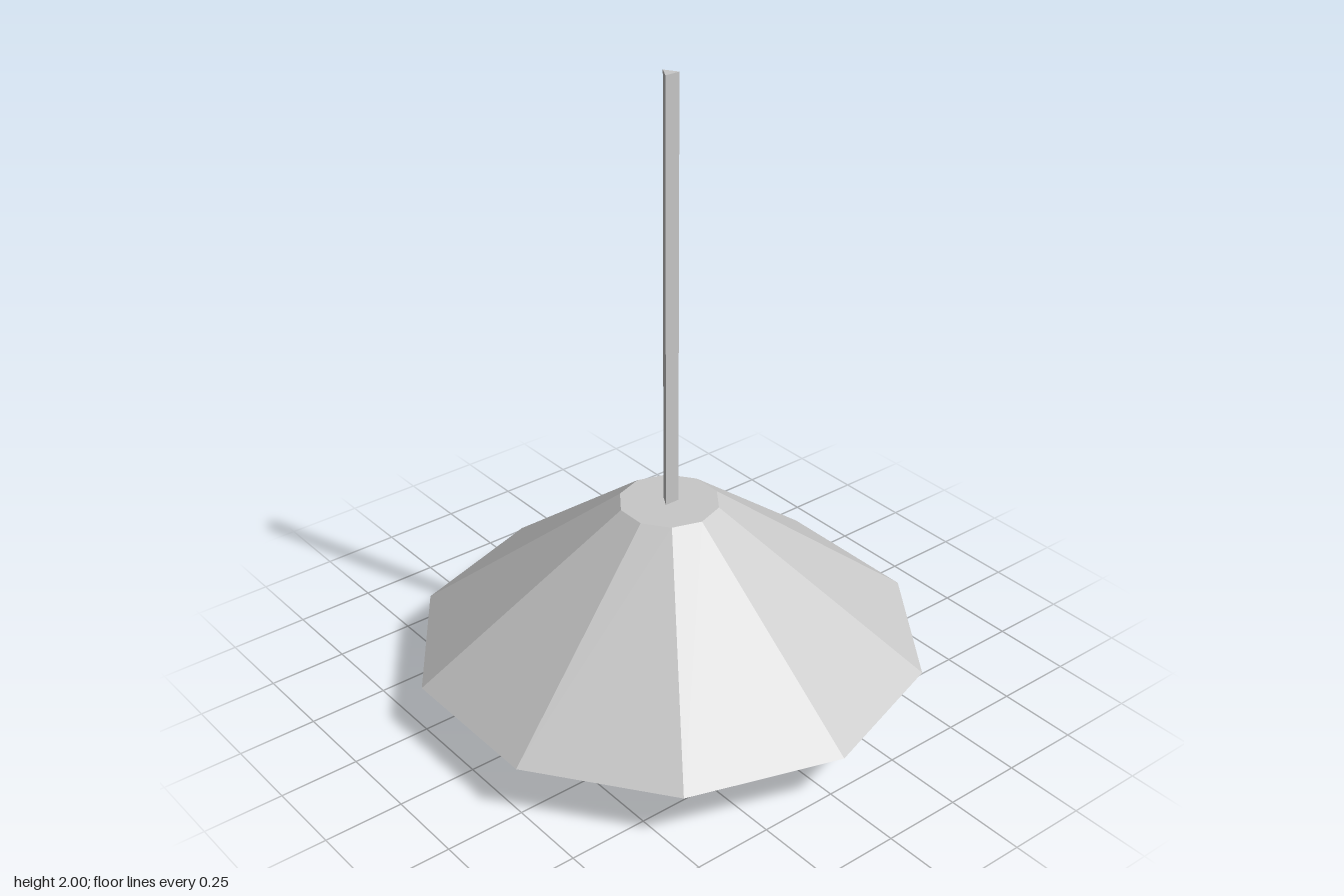
import * as THREE from 'three';

export function createModel() {
  const model = new THREE.Group();
  model.name = 'pendantLamp';
  const grey = new THREE.MeshStandardMaterial({ color: 0xc8c8c8, flatShading: true });
  grey.name = 'light grey';

  // Closed faceted prism or cone frustum between two heights
  function addPrism(name, rTop, rBottom, y0, y1, sides, turn = 0) {
    const geometry = new THREE.CylinderGeometry(rTop, rBottom, y1 - y0, sides);
    geometry.rotateY(turn);
    const mesh = new THREE.Mesh(geometry, grey);
    mesh.name = name;
    mesh.position.y = (y0 + y1) / 2;
    model.add(mesh);
  }

  // Octagonal bulb holder below the shade
  addPrism('bulbHolder', 0.215, 0.215, 0, 0.16, 8);
  // Ten-sided shade, closed at top and bottom
  addPrism('shade', 0.155, 0.798, 0.16, 0.647, 10);
  // Three-sided hanging rod with one edge at the back
  addPrism('rod', 0.028, 0.028, 0.647, 2, 3, Math.PI);

  return model;
}
